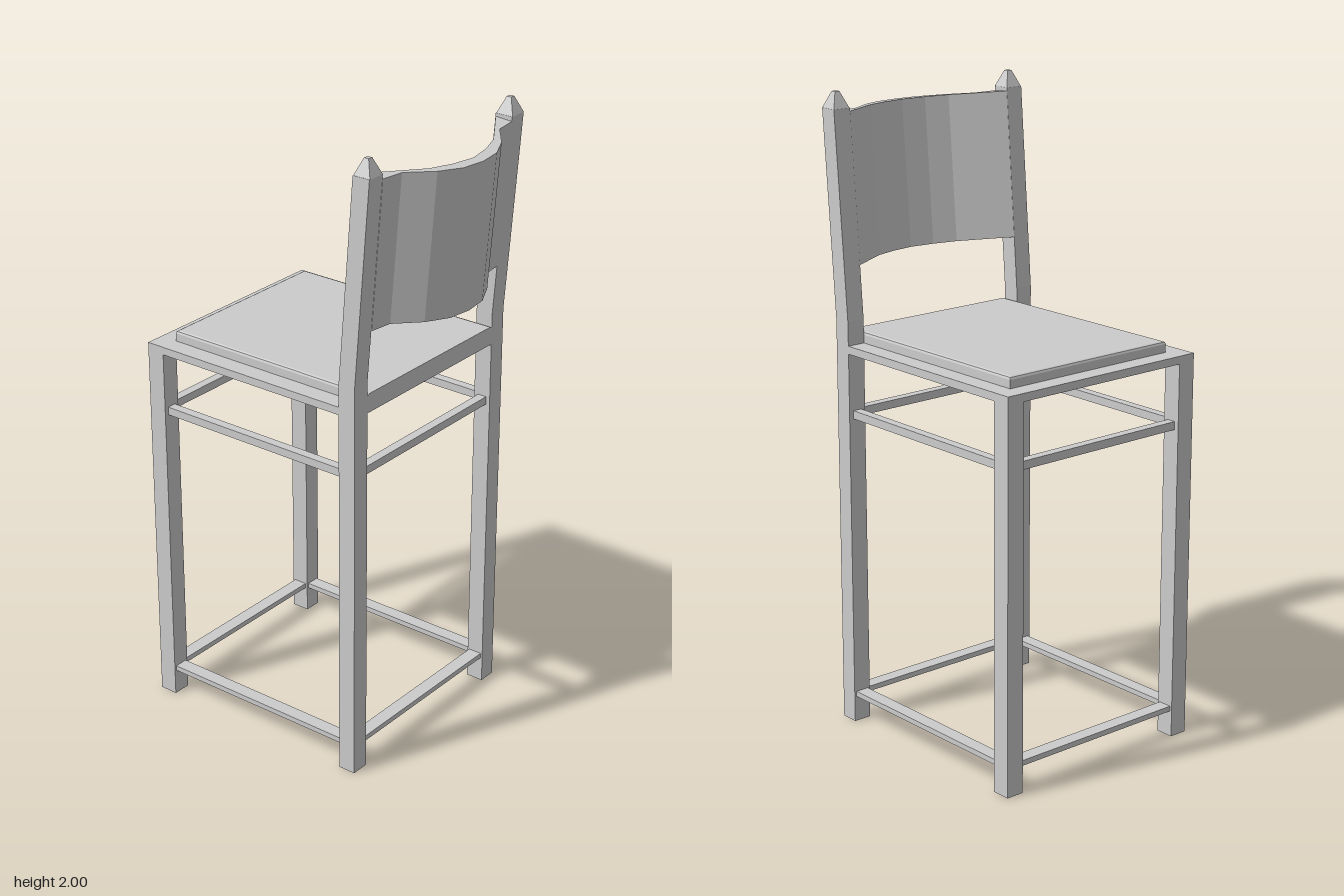
import * as THREE from 'three';

export function createModel() {
  const chair = new THREE.Group();
  chair.name = 'barChair';
  const material = new THREE.MeshStandardMaterial({ color: 0xcccccc, flatShading: true });

  const add = (name, geometry) => {
    const mesh = new THREE.Mesh(geometry, material);
    mesh.name = name;
    chair.add(mesh);
    return mesh;
  };
  // Box given by its lower and upper limits
  const block = (name, [x0, x1], [y0, y1], [z0, z1]) =>
    add(name, new THREE.BoxGeometry(x1 - x0, y1 - y0, z1 - z0))
      .position.set((x0 + x1) / 2, (y0 + y1) / 2, (z0 + z1) / 2);
  const shapeOf = (points) => new THREE.Shape(points.map(([x, y]) => new THREE.Vector2(x, y)));

  const front = [-0.485, -0.425], back = [0.255, 0.313];
  const inner = 0.31, outer = 0.37, legZ = 0.34;
  const frontX = -0.455, backX = 0.284;
  const lean = 0.05 / 0.64;

  // Rear post: straight leg that leans backwards above the seat
  const post = shapeOf([
    [back[0], 0], [back[1], 0], [back[1], 1.31],
    [0.363, 1.95], [0.305, 1.95], [back[0], 1.31],
  ]);

  for (const side of [1, -1]) {
    const tag = side > 0 ? 'Left' : 'Right';
    const span = side > 0 ? [inner, outer] : [-outer, -inner];
    block('frontLeg' + tag, front, [0, 1.235], span);

    add('rearPost' + tag, new THREE.ExtrudeGeometry(post, { depth: 0.06, bevelEnabled: false }))
      .position.z = span[0];

    // Blunt pyramid cap
    const cap = new THREE.CylinderGeometry(0.008 * Math.SQRT2, 0.029 * Math.SQRT2, 0.05, 4);
    cap.rotateY(Math.PI / 4);
    add('postCap' + tag, cap).position.set(0.335, 1.975, side * legZ);

    block('seatRail' + tag, [front[1], back[0]], [1.21, 1.235], span);
  }

  // Stretchers: an upper and a lower ring between the legs
  for (const [name, y, w] of [['lowerStretcher', [0.083, 0.1], 0.045], ['upperStretcher', [1.002, 1.028], 0.03]]) {
    const h = w / 2;
    for (const z of [legZ, -legZ]) block(name + 'Side', [front[1], back[0]], y, [z - h, z + h]);
    for (const x of [frontX, backX]) block(name + 'Cross', [x - h, x + h], y, [-inner, inner]);
  }

  // Seat frame and panel
  block('seatRailFront', front, [1.21, 1.235], [-inner, inner]);
  block('seatPanel', [front[1], back[1]], [1.21, 1.235], [-inner, inner]);

  // Seat pad with softened edges, cut square at the back
  const bevel = 0.009;
  const pad = new THREE.ExtrudeGeometry(shapeOf([
    [front[1] + bevel, -inner + bevel], [back[1] - bevel, -inner + bevel],
    [back[1] - bevel, inner - bevel], [front[1] + bevel, inner - bevel],
  ]), { depth: 0.027, bevelSize: bevel, bevelThickness: bevel, bevelSegments: 2 });
  const p = pad.attributes.position;
  for (let i = 0; i < p.count; i++) if (p.getX(i) > 0.28) p.setX(i, back[1]);
  pad.rotateX(-Math.PI / 2);
  pad.translate(0, 1.234, 0);
  add('seatPad', pad);

  // Curved backrest: faceted bow in plan, extruded and tilted with the posts
  const innerCurve = [[0, 0.31], [0.101, 0.155], [0.127, 0.08], [0.141, 0]];
  const outerCurve = [[0.058, 0.31], [0.067, 0.235], [0.13, 0.155], [0.166, 0.08], [0.176, 0]];
  const mirrored = (c) => [...c, ...c.slice(0, -1).reverse().map(([x, z]) => [x, -z])];
  const bow = shapeOf([...mirrored(innerCurve), ...mirrored(outerCurve).reverse()]);
  const rest = new THREE.ExtrudeGeometry(bow, { depth: 0.465, bevelEnabled: false });
  rest.rotateX(Math.PI / 2);
  rest.rotateZ(-Math.atan(lean));
  rest.translate(0.305, 1.94, 0);
  add('backrest', rest);

  return chair;
}
